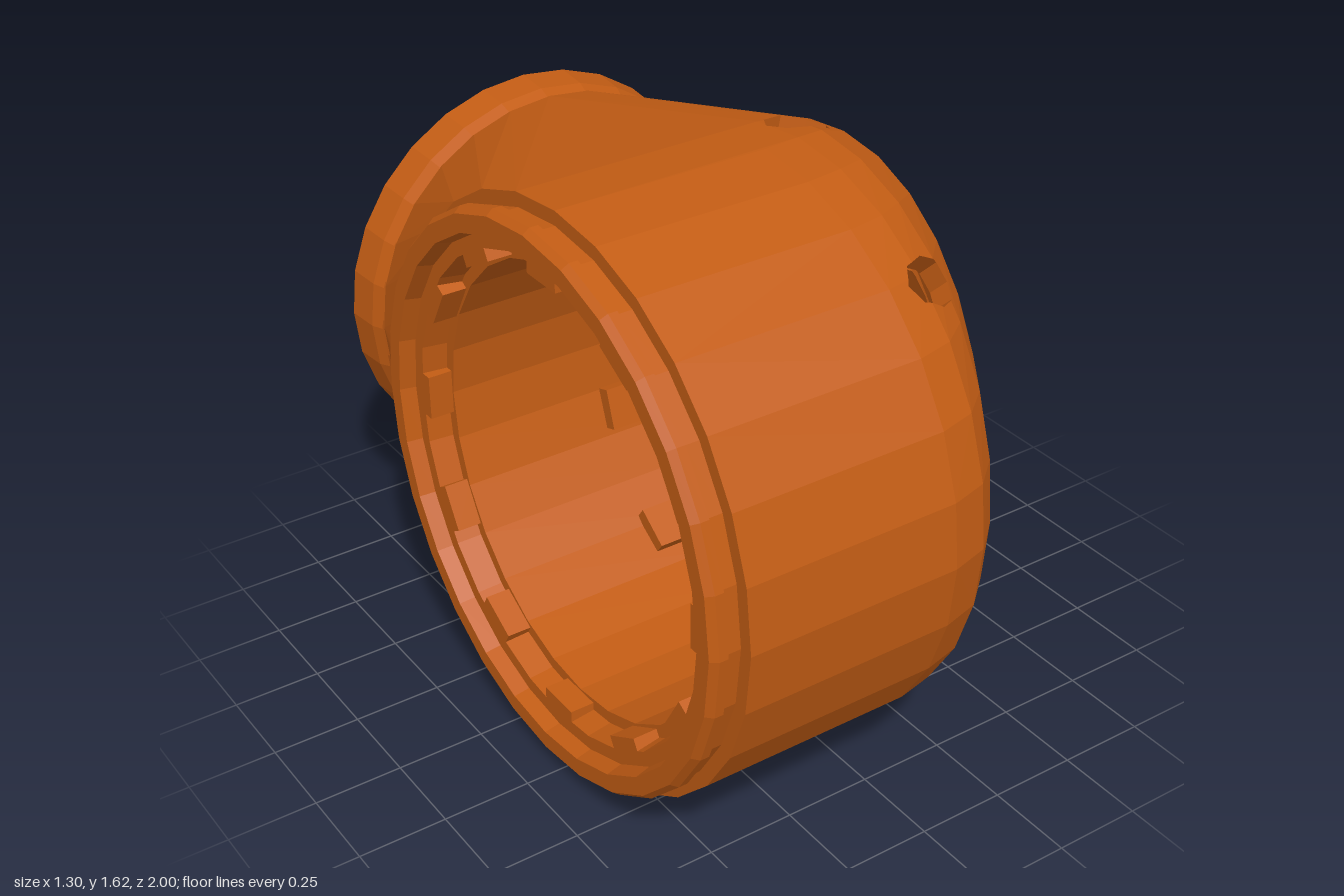
import * as THREE from 'three';
import { ConvexGeometry } from 'three/addons/geometries/ConvexGeometry.js';

const material = new THREE.MeshStandardMaterial({ color: 0xc25c14, flatShading: true, side: THREE.DoubleSide });
const V = (x, y, z) => new THREE.Vector3(x, y, z);
const CY = 0.81;                    // height of both axes
const DRUM = { x: -0.565, z: 0.19, r: 0.81 };  // drum axis runs along x
const NECK = { x: 0.055, r: 0.58, z: -0.87 };  // neck axis runs along z
const WALL = 0.06;

// Rounded ribs of the drum and its domed side: x, front z, half height, centre z, squareness
const ribs = [
  [DRUM.x, 1, 0.81, DRUM.z, 1], [0.05, 1, 0.81, DRUM.z, 1], [0.16, 0.97, 0.81, 0.18, 1], [0.25, 0.89, 0.8, 0.16, 1],
  [0.37, 0.71, 0.745, 0.1, 0.95], [0.45, 0.49, 0.675, 0.04, 0.9], [0.53, 0.18, 0.53, -0.1, 0.88],
  [0.58, -0.07, 0.4, -0.25, 0.88], [0.61, -0.26, 0.3, -0.42, 0.9], [0.63, -0.52, 0.18, -0.62, 1],
];

// Skin stretched over the ribs and the neck circle, open at the drum end and the neck
function housingPolygons(inset) {
  const points = [];
  const sides = 28;
  const bulge = (v, e) => Math.sign(v) * Math.abs(v) ** e;
  for (let i = 0; i < sides; i++) {
    const c = Math.cos(i * 2 * Math.PI / sides), s = Math.sin(i * 2 * Math.PI / sides);
    for (const [x, front, half, cz, e] of ribs) {
      const dx = inset * THREE.MathUtils.clamp((x - 0.05) / 0.4, 0, 1);
      points.push(V(x - dx, CY + (half - inset) * bulge(s, e), cz + (front - inset - cz) * bulge(c, e)));
    }
    points.push(V(NECK.x + (NECK.r - inset) * c, CY + (NECK.r - inset) * s, NECK.z));
  }
  const pos = new ConvexGeometry(points).getAttribute('position');
  const polys = [];
  for (let i = 0; i < pos.count; i += 3) {
    const tri = [0, 1, 2].map(k => new THREE.Vector3().fromBufferAttribute(pos, i + k));
    const cap = tri.every(p => p.x < DRUM.x + 1e-3) || tri.every(p => p.z < NECK.z + 1e-3);
    if (!cap) polys.push(tri);
  }
  return polys;
}

// A convex opening: side planes around an axis, plus one facing plane
function opening(centre, axis, u, v, corners) {
  const at = corners.map(([a, b]) => centre.clone().addScaledVector(u, a).addScaledVector(v, b));
  const planes = at.map((p, i) => {
    const n = at[(i + 1) % at.length].clone().sub(p).cross(axis).normalize();
    if (n.dot(centre.clone().sub(p)) > 0) n.negate();
    return { n, k: n.dot(p) };
  });
  const n = axis.clone().negate();
  planes.push({ n, k: n.dot(centre) + 0.3 });
  return { axis, planes };
}

function makeOpenings() {
  const list = [];
  // Tapered slots round the neck
  for (const deg of [-72, -36, 0, 36, 72]) {
    const a = deg * Math.PI / 180, axis = V(Math.cos(a), Math.sin(a), 0);
    const c = V(NECK.x, CY, -0.42).addScaledVector(axis, 0.62);
    list.push(opening(c, axis, V(-axis.y, axis.x, 0), V(0, 0, 1),
      [[-0.06, -0.17], [0.06, -0.17], [0.045, 0.17], [-0.045, 0.17]]));
  }
  // Rounded holes in the shoulder of the dome
  for (const s of [-1, 1]) {
    for (const [c, d] of [[V(0.25, 0.76, 0.05), V(0.25, 1, -0.05)], [V(0.21, 0.61, 0.68), V(0.3, 0.65, 0.6)]]) {
      const axis = V(d.x, d.y * s, d.z).normalize();
      const u = V(1, 0, 0).addScaledVector(axis, -axis.x).normalize();
      const ring = Array.from({ length: 8 }, (_, i) => [0.1 * Math.cos(i * Math.PI / 4), 0.07 * Math.sin(i * Math.PI / 4)]);
      list.push(opening(V(c.x, CY + c.y * s, c.z), axis, u, axis.clone().cross(u), ring));
    }
  }
  return list;
}

// Split a polygon by a plane into its inside and outside parts
function split(poly, { n, k }) {
  const inside = [], outside = [];
  poly.forEach((p, i) => {
    const q = poly[(i + 1) % poly.length];
    const a = n.dot(p) - k, b = n.dot(q) - k;
    (a <= 0 ? inside : outside).push(p);
    if ((a <= 0) !== (b <= 0)) {
      const m = p.clone().lerp(q, a / (a - b));
      inside.push(m);
      outside.push(m);
    }
  });
  return { inside, outside };
}

// Remove an opening from the polygons and line its edge with a short wall
function cut(polys, { axis, planes }) {
  const kept = [], walls = [];
  for (const poly of polys) {
    let rest = poly;
    const pieces = [];
    for (const plane of planes) {
      const { inside, outside } = split(rest, plane);
      if (outside.length > 2) pieces.push(outside);
      rest = inside;
      if (rest.length < 3) break;
    }
    if (rest.length < 3) { kept.push(poly); continue; }
    kept.push(...pieces);
    rest.forEach((p, i) => {
      const q = rest[(i + 1) % rest.length];
      const onEdge = planes.some(({ n, k }) => Math.abs(n.dot(p) - k) < 1e-6 && Math.abs(n.dot(q) - k) < 1e-6);
      if (onEdge) walls.push([p, q, q.clone().addScaledVector(axis, -WALL), p.clone().addScaledVector(axis, -WALL)]);
    });
  }
  return { kept, walls };
}

function fromPolygons(polys) {
  const pts = [];
  for (const p of polys) for (let i = 1; i < p.length - 1; i++) pts.push(p[0], p[i], p[i + 1]);
  const g = new THREE.BufferGeometry().setFromPoints(pts);
  g.computeVertexNormals();
  return g;
}

export function createModel() {
  const group = new THREE.Group();
  const add = (name, geometry, parent = group) => {
    const mesh = new THREE.Mesh(geometry, material);
    mesh.name = name;
    parent.add(mesh);
    return mesh;
  };

  // Outer and inner skins of the housing, with slots and holes cut through both
  let shell = housingPolygons(0), inner = housingPolygons(WALL);
  const linings = [];
  for (const hole of makeOpenings()) {
    const outerCut = cut(shell, hole);
    shell = outerCut.kept;
    linings.push(...outerCut.walls);
    inner = cut(inner, hole).kept;
  }
  add('housingShell', fromPolygons(shell));
  add('housingInnerWall', fromPolygons(inner));
  add('openingLinings', fromPolygons(linings));

  // Turned parts: profile of [radius, position along the axis]
  const turned = profile => new THREE.LatheGeometry(profile.map(([r, a]) => new THREE.Vector2(r, a)), 28);

  // Stepped rim around the open drum end, running into the inner sleeve
  const rim = turned([
    [0.81, -0.565], [0.77, -0.565], [0.77, -0.605], [0.785, -0.61], [0.785, -0.635], [0.77, -0.655],
    [0.72, -0.655], [0.71, -0.61], [0.67, -0.61], [0.66, -0.54], [0.625, -0.54], [0.625, 0.05],
  ]).rotateZ(-Math.PI / 2);
  add('drumRim', rim).position.set(0, CY, DRUM.z);

  // Flared neck collar with a recessed inner seat
  const collar = turned([
    [0.58, -0.865], [0.595, -0.9], [0.603, -1], [0.59, -1], [0.55, -0.9], [0.49, -0.9],
    [0.48, -0.76], [0.33, -0.76], [0.32, -0.68],
  ]).rotateX(Math.PI / 2);
  add('neckCollar', collar).position.set(NECK.x - 0.008, CY, 0);

  // Lugs spaced around the neck seat, the rim and the deep end of the sleeve
  const lugRing = (name, count, radius, size, along, phase = 0) => {
    const ring = new THREE.Group();
    ring.name = name;
    for (let i = 0; i < count; i++) {
      const a = phase + i * 2 * Math.PI / count;
      const lug = add('lug', new THREE.BoxGeometry(...size), ring);
      lug.position.set(radius * Math.cos(a), radius * Math.sin(a), along);
      lug.rotation.z = a;
    }
    group.add(ring);
    return ring;
  };
  lugRing('neckLugs', 6, 0.425, [0.12, 0.24, 0.13], -0.825, Math.PI / 6).position.set(NECK.x - 0.008, CY, 0);
  const drumLugs = [
    lugRing('rimLugs', 12, 0.67, [0.08, 0.13, 0.08], -0.57),
    lugRing('sleeveLugs', 10, 0.605, [0.05, 0.12, 0.12], -0.02, Math.PI / 10),
  ];
  for (const ring of drumLugs) {
    ring.rotation.y = Math.PI / 2;
    ring.position.set(0, CY, DRUM.z);
  }

  return group;
}
